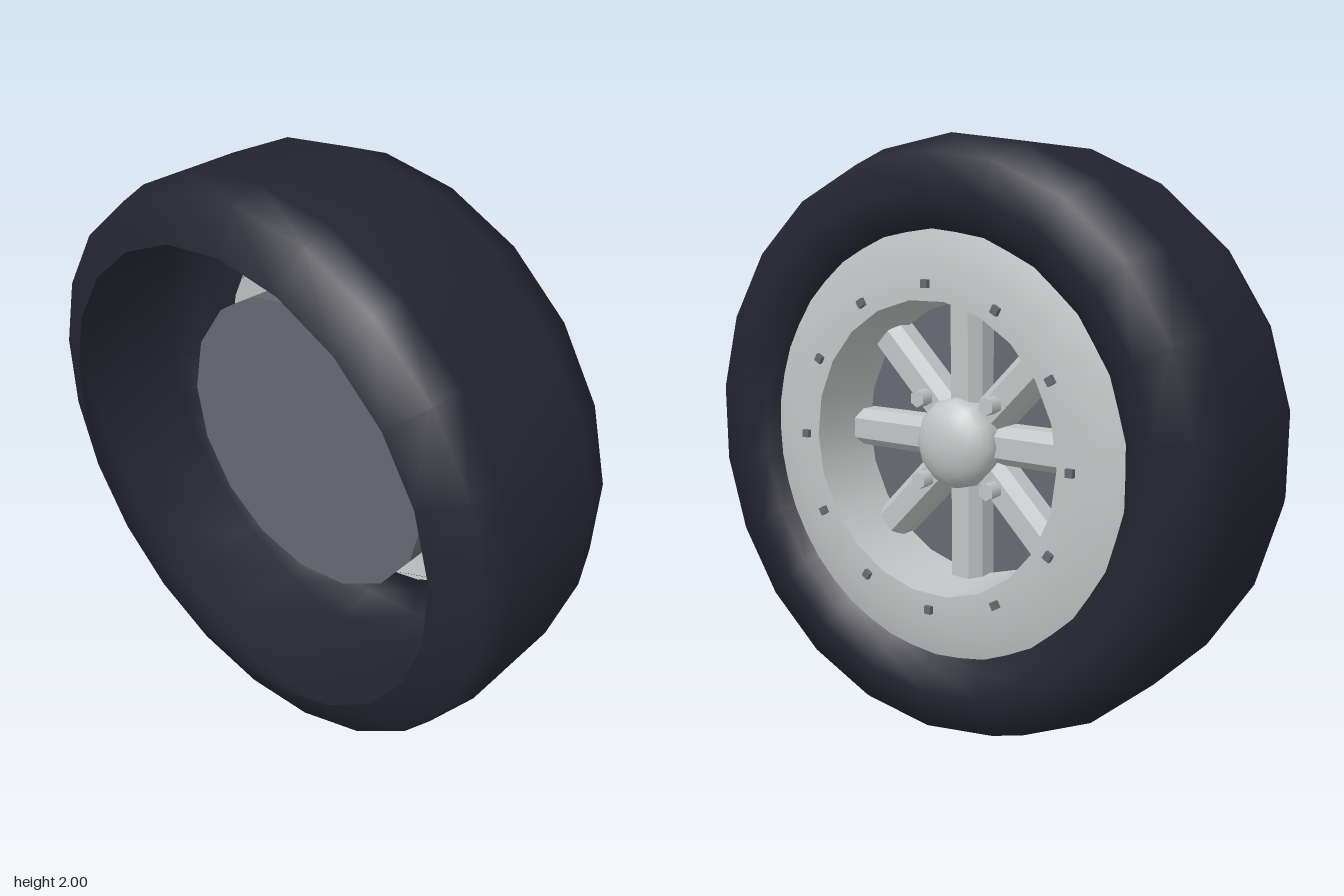
import * as THREE from 'three';

const SIDES = 22;

function material(name, color, side = THREE.FrontSide) {
  const m = new THREE.MeshStandardMaterial({ color, side });
  m.name = name;
  return m;
}

// Surface of revolution about z, from [radius, z] pairs
function revolve(points, sides, turn = 0) {
  const g = new THREE.LatheGeometry(points.map(([r, z]) => new THREE.Vector2(r, z)), sides);
  return g.rotateX(Math.PI / 2).rotateZ(turn);
}

// Flat-ended cylinder along z
function drum(radius, depth, sides) {
  return new THREE.CylinderGeometry(radius, radius, depth, sides).rotateX(Math.PI / 2);
}

export function createModel() {
  const rubber = material('rubber', 0x242431, THREE.DoubleSide);
  const alloy = material('alloy', 0xc2c4c5, THREE.DoubleSide);
  const steel = material('darkSteel', 0x666972);

  const model = new THREE.Group();
  const wheel = new THREE.Group();
  wheel.name = 'wheel';
  wheel.position.y = 1;
  model.add(wheel);

  const add = (name, geometry, mat, x = 0, y = 0, z = 0) => {
    const mesh = new THREE.Mesh(geometry, mat);
    mesh.name = name;
    mesh.position.set(x, y, z);
    wheel.add(mesh);
    return mesh;
  };

  // Tyre: a thin shell, open at the front
  add('tyre', revolve([
    [0.7, -0.29], [0.74, -0.335], [0.82, -0.36], [0.94, -0.345],
    [1, -0.19], [1, 0.2], [0.97, 0.3], [0.825, 0.363],
  ], SIDES), rubber);

  // Rim: domed outer flange and the barrel running in from it
  const half = Math.PI / SIDES;
  add('rimFlange', revolve([[0.485, -0.325], [0.6, -0.325], [0.715, -0.293]], SIDES, half), alloy);
  add('rimBarrel', revolve([[0.47, -0.07], [0.485, -0.325]], SIDES, half), alloy);

  // Small studs around the flange
  for (let i = 0; i < 12; i++) {
    const a = (i * Math.PI) / 6;
    const stud = add('flangeStud', new THREE.BoxGeometry(0.026, 0.026, 0.03), steel,
      0.535 * Math.cos(a), 0.535 * Math.sin(a), -0.325);
    stud.rotation.z = a;
  }

  // Brake disc behind the spokes
  add('brakeDisc', drum(0.545, 0.06, 16), steel, 0, 0, 0.01);

  // Spokes: tapered bars with bevelled sides
  const section = new THREE.Shape([
    [-0.065, 0.05], [-0.065, -0.015], [-0.035, -0.055],
    [0.035, -0.055], [0.065, -0.015], [0.065, 0.05],
  ].map(([x, y]) => new THREE.Vector2(x, y)));
  const spokeGeometry = new THREE.ExtrudeGeometry(section, { depth: 0.41, bevelEnabled: false });
  // Turn so the length runs along +x and the bevelled face looks to -z
  spokeGeometry.applyMatrix4(new THREE.Matrix4().makeBasis(
    new THREE.Vector3(0, 1, 0), new THREE.Vector3(0, 0, 1), new THREE.Vector3(1, 0, 0)));
  spokeGeometry.translate(0.06, 0, 0);
  for (let i = 0; i < 8; i++) {
    add('spoke', spokeGeometry, alloy, 0, 0, -0.1).rotation.z = (i * Math.PI) / 4;
  }

  // Hub with a domed cap
  add('hub', drum(0.15, 0.16, 12), alloy, 0, 0, -0.09);
  const cap = new THREE.SphereGeometry(0.155, 12, 6, 0, Math.PI * 2, 0, Math.PI / 2);
  cap.rotateX(-Math.PI / 2).scale(1, 1, 0.6);
  add('hubCap', cap, alloy, 0, 0, -0.165);

  // Wheel nuts on the diagonal spokes
  for (let i = 0; i < 4; i++) {
    const a = Math.PI / 4 + (i * Math.PI) / 2;
    add('wheelNut', drum(0.03, 0.06, 6), alloy, 0.2 * Math.cos(a), 0.2 * Math.sin(a), -0.175);
  }

  return model;
}
